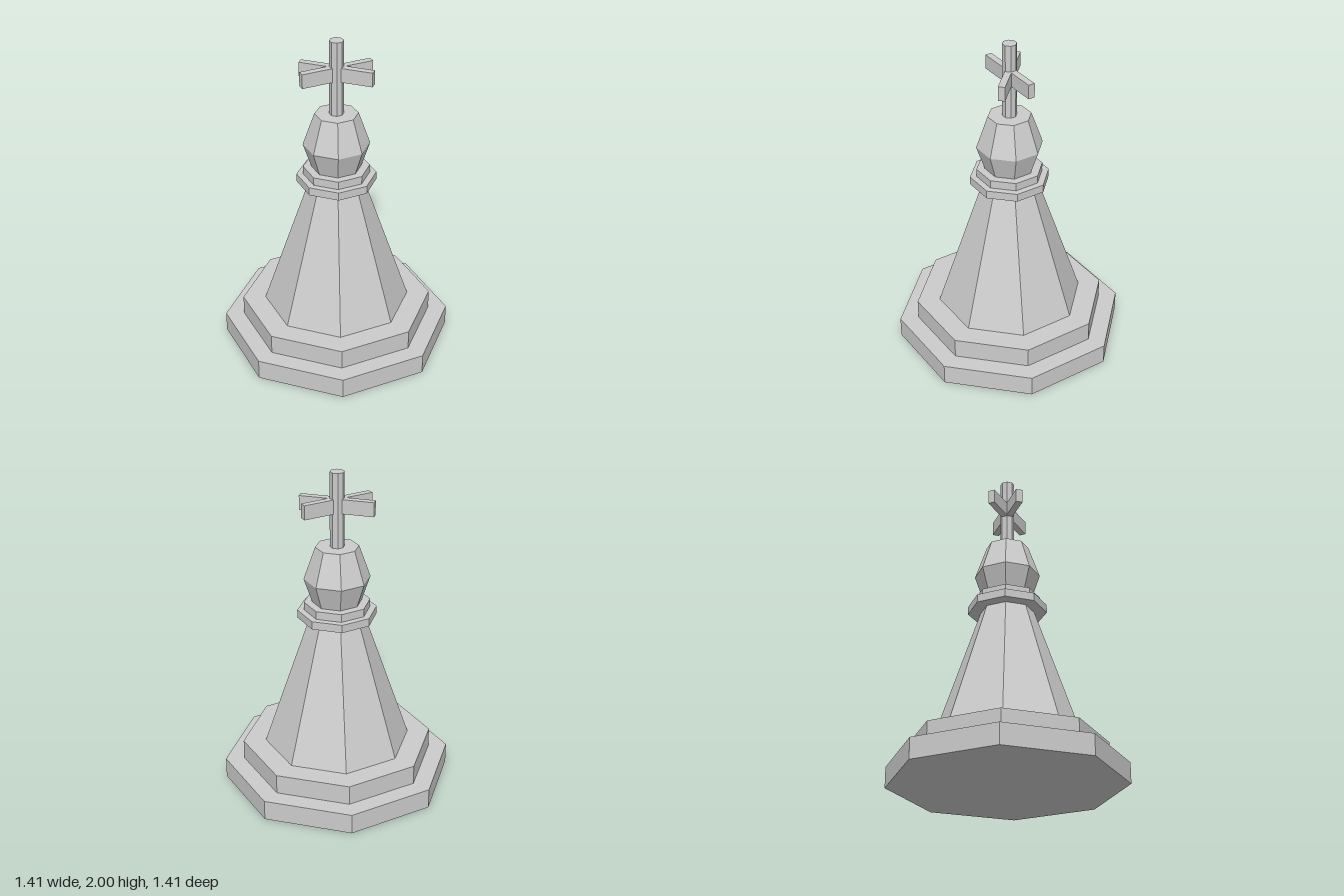
import * as THREE from 'three';

const material = new THREE.MeshStandardMaterial({ color: 0xcccccc, flatShading: true });

// One eight-sided tier, given by its bottom and top radius and height range
function tier(name, rBottom, rTop, y0, y1) {
  const mesh = new THREE.Mesh(new THREE.CylinderGeometry(rTop, rBottom, y1 - y0, 8), material);
  mesh.name = name;
  mesh.position.y = (y0 + y1) / 2;
  return mesh;
}

export function createModel() {
  const model = new THREE.Group();
  model.name = 'octagonalSpire';

  model.add(
    // Stepped base
    tier('lowerStep', 0.705, 0.705, 0, 0.127),
    tier('upperStep', 0.59, 0.59, 0.127, 0.25),
    // Tapered shaft with a two-step collar
    tier('shaft', 0.45, 0.165, 0.25, 1.09),
    tier('lowerCollar', 0.24, 0.24, 1.09, 1.14),
    tier('upperCollar', 0.2, 0.2, 1.14, 1.19),
    // Faceted bulb
    tier('bulbLower', 0.15, 0.2, 1.19, 1.34),
    tier('bulbUpper', 0.2, 0.13, 1.34, 1.54),
    // Pole
    tier('pole', 0.043, 0.043, 1.54, 2),
  );

  // Two crossing bars through the pole
  for (const side of [1, -1]) {
    const bar = new THREE.Mesh(new THREE.BoxGeometry(0.448, 0.088, 0.041), material);
    bar.name = side > 0 ? 'crossBarA' : 'crossBarB';
    bar.position.y = 1.795;
    bar.rotation.y = side * Math.PI / 8;
    model.add(bar);
  }
  return model;
}
